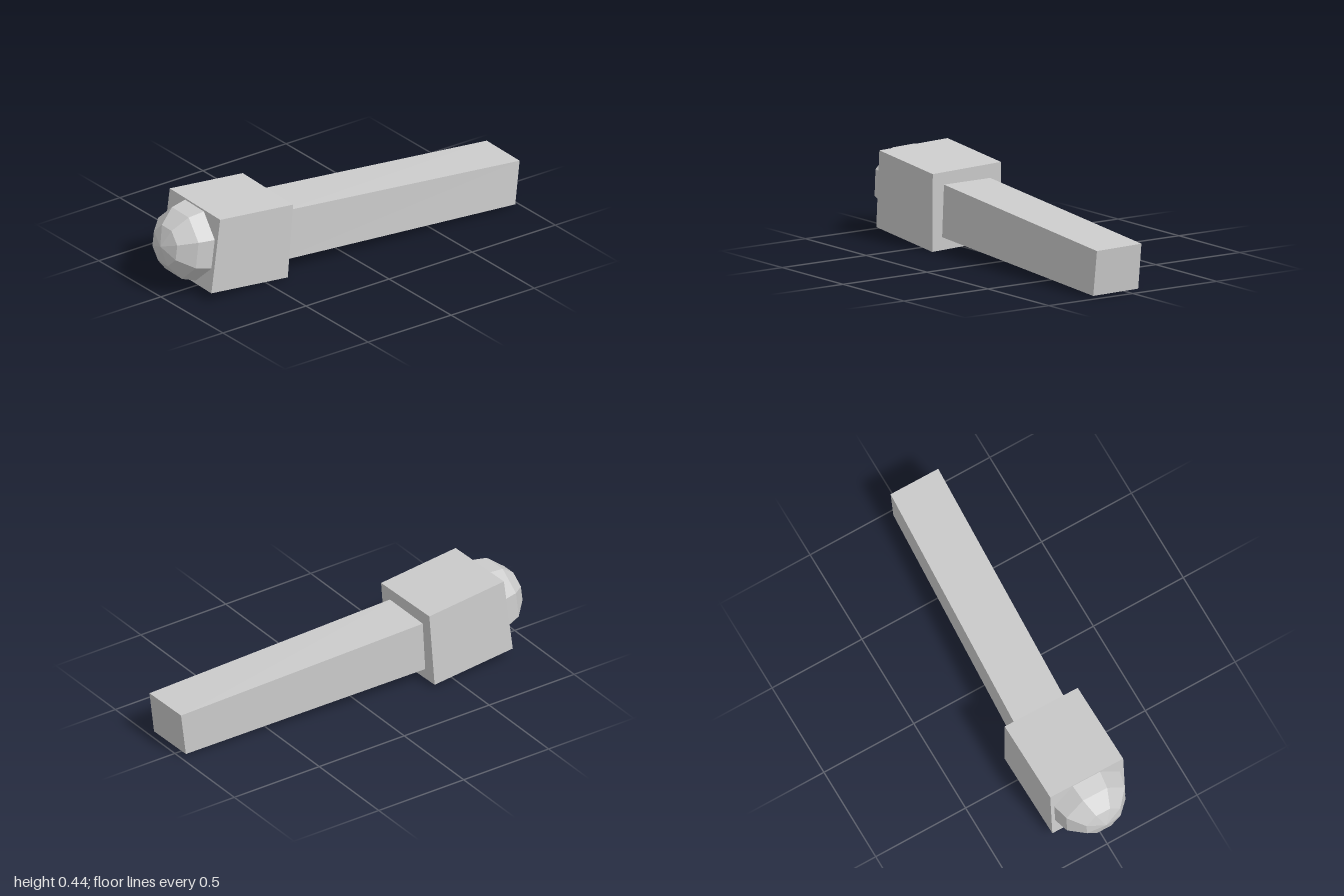
import * as THREE from 'three';

const material = new THREE.MeshStandardMaterial({ color: 0xcccccc, flatShading: true });

// Skewed six-sided block: corners listed as [left end, right end],
// each end as [front bottom, back bottom, front top, back top]
function skewedBlock(name, ends) {
  const geometry = new THREE.BoxGeometry(1, 1, 1);
  const p = geometry.attributes.position;
  for (let i = 0; i < p.count; i++) {
    const end = ends[p.getX(i) > 0 ? 1 : 0];
    const corner = end[(p.getY(i) > 0 ? 2 : 0) + (p.getZ(i) > 0 ? 0 : 1)];
    p.setXYZ(i, ...corner);
  }
  geometry.computeVertexNormals();
  const mesh = new THREE.Mesh(geometry, material);
  mesh.name = name;
  return mesh;
}

export function createModel() {
  const group = new THREE.Group();
  group.name = 'hammerShape';

  // Wide block, leaning slightly
  group.add(skewedBlock('headBlock', [
    [[-0.84, 0.047, 0.193], [-0.84, 0.059, -0.213], [-0.797, 0.433, 0.206], [-0.797, 0.445, -0.2]],
    [[-0.38, 0.0, 0.193], [-0.38, 0.014, -0.213], [-0.358, 0.388, 0.206], [-0.358, 0.4, -0.2]],
  ]));

  // Long tapering bar, its inner end sunk into the block
  group.add(skewedBlock('bar', [
    [[-0.43, 0.069, 0.134], [-0.43, 0.069, -0.142], [-0.41, 0.331, 0.134], [-0.41, 0.331, -0.142]],
    [[0.972, 0.009, 0.215], [0.972, 0.013, -0.053], [1.0, 0.234, 0.213], [1.0, 0.239, -0.052]],
  ]));

  // Faceted round cap, half buried, pole facing outward
  const capGeometry = new THREE.SphereGeometry(0.203, 8, 6);
  capGeometry.rotateY(Math.PI / 8);
  capGeometry.rotateZ(Math.PI / 2);
  const cap = new THREE.Mesh(capGeometry, material);
  cap.name = 'roundCap';
  cap.rotation.set(0.03, 0, -0.1);
  cap.position.set(-0.798, 0.247, -0.005);
  group.add(cap);

  return group;
}
